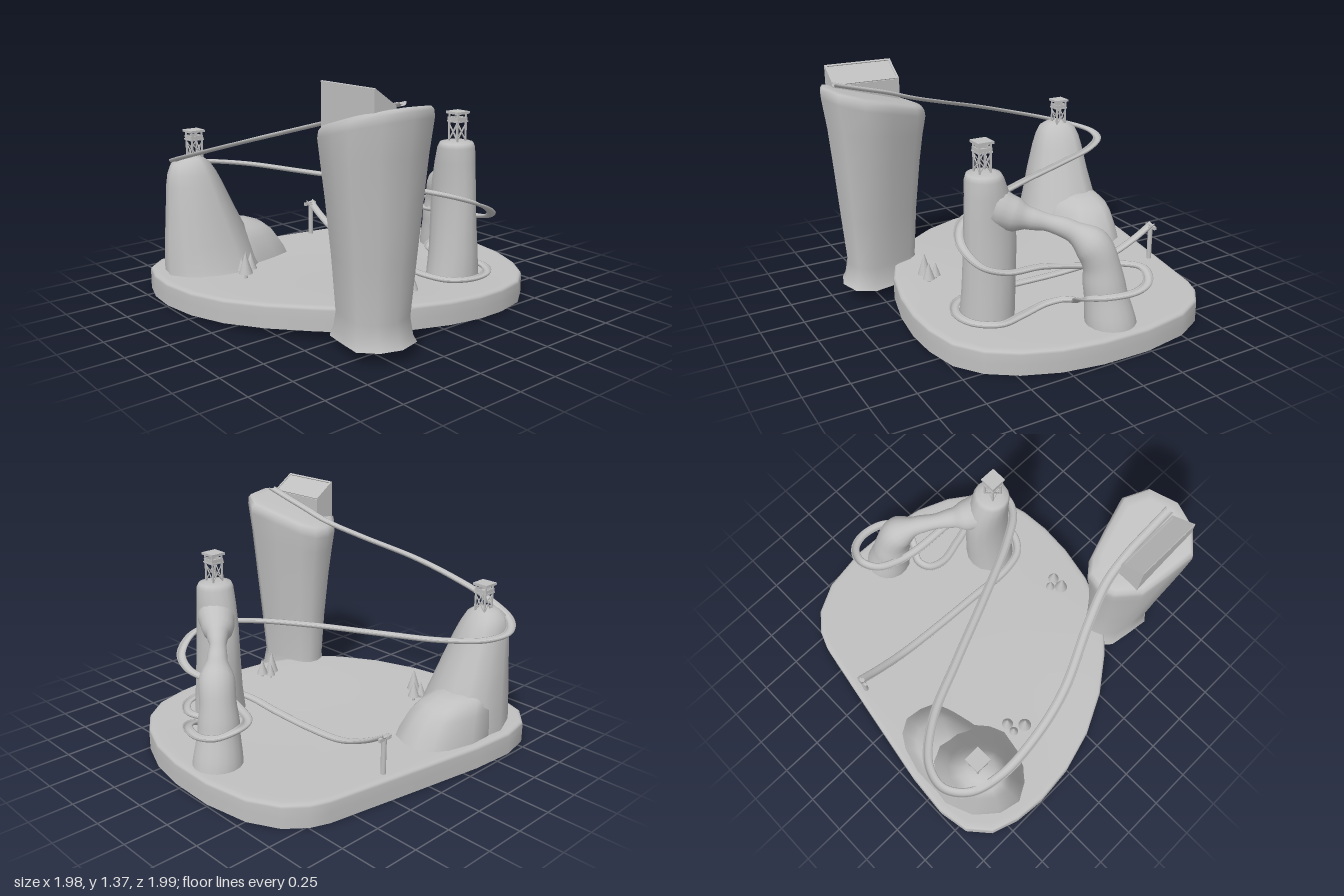
import * as THREE from 'three';
import { mergeVertices } from 'three/addons/utils/BufferGeometryUtils.js';

const stone = new THREE.MeshStandardMaterial({ color: 0xc0c0c0, side: THREE.DoubleSide });
stone.name = 'stone grey';

function add(parent, name, geometry, x = 0, y = 0, z = 0) {
  const mesh = new THREE.Mesh(geometry, stone);
  mesh.name = name;
  mesh.position.set(x, y, z);
  parent.add(mesh);
  return mesh;
}

// Skin over stacked rings. Every level fits the [x, z] outline into a box:
// [y, xMin, xMax, zMin, zMax, slope along x]. The last ring is closed.
function loft(outline, levels) {
  const sides = outline.length;
  const box = new THREE.Box2().setFromPoints(outline.map(([x, z]) => new THREE.Vector2(x, z)));
  const pos = [], idx = [];
  for (const [y, x0, x1, z0, z1, slope = 0] of levels) {
    for (const [px, pz] of outline) {
      const x = THREE.MathUtils.mapLinear(px, box.min.x, box.max.x, x0, x1);
      const z = THREE.MathUtils.mapLinear(pz, box.min.y, box.max.y, z0, z1);
      pos.push(x, y + slope * (x - (x0 + x1) / 2), z);
    }
  }
  for (let l = 0; l < levels.length - 1; l++) {
    for (let i = 0; i < sides; i++) {
      const a = l * sides + i, b = l * sides + (i + 1) % sides;
      idx.push(a, a + sides, b, b, a + sides, b + sides);
    }
  }
  const [y, x0, x1, z0, z1] = levels[levels.length - 1];
  const last = (levels.length - 1) * sides, tip = pos.length / 3;
  pos.push((x0 + x1) / 2, y, (z0 + z1) / 2);
  for (let i = 0; i < sides; i++) idx.push(last + i, tip, last + (i + 1) % sides);
  const g = new THREE.BufferGeometry();
  g.setAttribute('position', new THREE.Float32BufferAttribute(pos, 3));
  g.setIndex(idx);
  g.computeVertexNormals();
  return g;
}

// Round limb whose radius changes along its path: points are [x, y, z, radius].
function limb(points, segs, sides) {
  const curve = new THREE.CatmullRomCurve3(points.map(p => new THREE.Vector3(p[0], p[1], p[2])));
  const g = new THREE.TubeGeometry(curve, segs, 1, sides);
  const pos = g.attributes.position, v = new THREE.Vector3();
  for (let i = 0; i < pos.count; i++) {
    const u = Math.floor(i / (sides + 1)) / segs;
    const t = curve.getUtoTmapping(u) * (points.length - 1);
    const k = Math.min(Math.floor(t), points.length - 2);
    const r = THREE.MathUtils.lerp(points[k][3], points[k + 1][3], THREE.MathUtils.smoothstep(t - k, 0, 1));
    const c = curve.getPointAt(u);
    v.fromBufferAttribute(pos, i).sub(c).multiplyScalar(r).add(c);
    pos.setXYZ(i, v.x, v.y, v.z);
  }
  g.deleteAttribute('uv');
  g.deleteAttribute('normal');
  const merged = mergeVertices(g, 1e-5);
  merged.computeVertexNormals();
  return merged;
}

// Half-pipe channel swept along a path, kept level from side to side.
function channel(points, segs, radius, wall) {
  const curve = new THREE.CatmullRomCurve3(points.map(p => new THREE.Vector3(...p)));
  const section = [];
  for (let i = 0; i <= 8; i++) section.push([-Math.cos(i * Math.PI / 8) * radius, -Math.sin(i * Math.PI / 8) * radius * 0.8]);
  for (let i = 8; i >= 0; i--) section.push([-Math.cos(i * Math.PI / 8) * (radius - wall), -Math.sin(i * Math.PI / 8) * (radius * 0.8 - wall)]);
  const n = section.length, pos = [], idx = [], up = new THREE.Vector3(0, 1, 0);
  for (let s = 0; s <= segs; s++) {
    const c = curve.getPointAt(s / segs), t = curve.getTangentAt(s / segs);
    const side = t.clone().cross(up).normalize(), lift = side.clone().cross(t);
    for (const [a, b] of section) {
      const p = c.clone().addScaledVector(side, a).addScaledVector(lift, b);
      pos.push(p.x, p.y, p.z);
    }
  }
  for (let s = 0; s < segs; s++) {
    for (let i = 0; i < n; i++) {
      const a = s * n + i, b = s * n + (i + 1) % n;
      idx.push(a, b, a + n, b, b + n, a + n);
    }
  }
  const g = new THREE.BufferGeometry();
  g.setAttribute('position', new THREE.Float32BufferAttribute(pos, 3));
  g.setIndex(idx);
  g.computeVertexNormals();
  return g;
}

// Lookout with braced legs, deck, cabin and roof.
function lookout(parent, name, x, y, z) {
  const g = new THREE.Group();
  g.name = name;
  g.position.set(x, y, z);
  parent.add(g);
  for (const sx of [-1, 1]) for (const sz of [-1, 1])
    add(g, 'lookoutLeg', new THREE.BoxGeometry(0.009, 0.19, 0.009), sx * 0.033, 0.065, sz * 0.033);
  for (let k = 0; k < 4; k++) {
    const face = new THREE.Group();
    face.name = 'bracedSide';
    face.rotation.y = k * Math.PI / 2;
    g.add(face);
    for (const s of [-1, 1])
      add(face, 'brace', new THREE.BoxGeometry(0.006, 0.115, 0.004), 0, 0.05, 0.033).rotation.z = s * 0.61;
    add(face, 'rail', new THREE.BoxGeometry(0.08, 0.022, 0.005), 0, 0.125, 0.037);
  }
  add(g, 'deck', new THREE.BoxGeometry(0.085, 0.008, 0.085), 0, 0.112, 0);
  add(g, 'roof', new THREE.BoxGeometry(0.095, 0.014, 0.095), 0, 0.163, 0);
}

function tree(parent, x, y, z, r, h) {
  const g = new THREE.Group();
  g.name = 'tree';
  g.position.set(x, y, z);
  parent.add(g);
  add(g, 'trunk', new THREE.CylinderGeometry(r * 0.25, r * 0.25, 0.06, 8), 0, 0.015, 0);
  add(g, 'foliage', new THREE.ConeGeometry(r, h, 12), 0, 0.035 + h / 2, 0);
}

export function createModel() {
  const model = new THREE.Group();
  model.name = 'slidePark';

  // Island: hollow slab, lifted a little near the tall tower
  const shore = [[-0.8, -0.635], [-0.76, -0.74], [-0.67, -0.85], [-0.5, -0.94], [-0.23, -0.985], [0.05, -0.98],
    [0.28, -0.94], [0.48, -0.86], [0.63, -0.755], [0.735, -0.61], [0.78, -0.42], [0.79, -0.24], [0.77, -0.03],
    [0.715, 0.2], [0.585, 0.475], [0.425, 0.635], [0.215, 0.79], [-0.02, 0.905], [-0.26, 0.97], [-0.5, 0.99],
    [-0.685, 0.97], [-0.845, 0.915], [-0.95, 0.795], [-0.985, 0.61], [-0.965, 0.345], [-0.885, -0.14]];
  const inset = (y, d) => [y, -0.99 + d, 0.793 - d, -0.99 + d, 0.997 - d];
  const island = loft(shore, [inset(0, 0), inset(0.06, 0), inset(0.115, 0), inset(0.128, 0.004), inset(0.133, 0.015),
    inset(0.135, 0.04), inset(0.135, 0.2), inset(0.135, 0.4), inset(0.135, 0.6), inset(0.135, 0.75)]);
  const p = island.attributes.position;
  for (let i = 0; i < p.count; i++) {
    const d2 = (p.getX(i) - 0.6) ** 2 + (p.getZ(i) - 0.65) ** 2;
    p.setY(i, p.getY(i) + 0.055 * Math.exp(-d2 / 0.6));
  }
  island.computeVertexNormals();
  add(model, 'island', island);

  // Tall tower with slanted top
  const towerPlan = [[0.395, 0.47], [0.41, 0.38], [0.48, 0.32], [0.65, 0.265], [0.82, 0.215], [0.945, 0.29],
    [0.985, 0.46], [0.94, 0.61], [0.835, 0.715], [0.68, 0.69], [0.53, 0.66], [0.425, 0.555]];
  add(model, 'tallTower', loft(towerPlan, [
    [0.065, 0.425, 0.935, 0.285, 0.66, 0.03], [0.1, 0.45, 0.915, 0.3, 0.65, 0.03], [0.2, 0.475, 0.895, 0.31, 0.64],
    [0.5, 0.455, 0.92, 0.285, 0.665], [0.8, 0.425, 0.945, 0.255, 0.695, 0.05], [1.0, 0.4, 0.965, 0.235, 0.715, 0.15],
    [1.14, 0.38, 0.99, 0.22, 0.727, 0.27], [1.178, 0.385, 0.99, 0.225, 0.722, 0.28],
    [1.2, 0.4, 0.98, 0.245, 0.7, 0.28], [1.207, 0.45, 0.93, 0.29, 0.655, 0.28]]));

  // Sloped display box on the tower, with a raised frame
  const side = new THREE.Shape([[-0.635, 1.13], [-0.5, 1.13], [-0.5, 1.275], [-0.635, 1.37]].map(q => new THREE.Vector2(...q)));
  const wedge = new THREE.ExtrudeGeometry(side, { depth: 0.4, bevelEnabled: false });
  wedge.rotateY(Math.PI / 2);
  add(model, 'displayBox', wedge, 0.505, 0, 0);
  const frame = new THREE.Group();
  frame.name = 'displayFrame';
  frame.position.set(0.705, 1.324, 0.5675);
  frame.rotation.x = -Math.atan2(0.095, 0.135);
  model.add(frame);
  for (const s of [-1, 1]) {
    add(frame, 'frameLongSide', new THREE.BoxGeometry(0.4, 0.008, 0.012), 0, 0, s * 0.074);
    add(frame, 'frameShortSide', new THREE.BoxGeometry(0.012, 0.008, 0.148), s * 0.194, 0, 0);
  }

  // Front hill: a steep cone with a low shoulder towards the back
  const conePlan = [[-0.74, 0.3], [-0.58, 0.33], [-0.47, 0.4], [-0.405, 0.47], [-0.365, 0.555], [-0.39, 0.69],
    [-0.435, 0.78], [-0.5, 0.85], [-0.605, 0.905], [-0.74, 0.875], [-0.87, 0.77], [-0.94, 0.61], [-0.92, 0.45], [-0.85, 0.35]];
  add(model, 'hill', loft(conePlan, [
    [0.11, -0.94, -0.36, 0.28, 0.91], [0.17, -0.93, -0.395, 0.29, 0.91], [0.31, -0.912, -0.44, 0.34, 0.898],
    [0.49, -0.885, -0.49, 0.43, 0.878], [0.65, -0.865, -0.54, 0.5, 0.86], [0.72, -0.852, -0.567, 0.535, 0.845],
    [0.775, -0.83, -0.595, 0.575, 0.82], [0.805, -0.79, -0.635, 0.615, 0.77], [0.818, -0.75, -0.68, 0.66, 0.73]]));
  const shoulderPlan = [[-0.74, 0.05], [-0.64, 0.065], [-0.55, 0.105], [-0.51, 0.22], [-0.48, 0.345], [-0.46, 0.5],
    [-0.55, 0.6], [-0.8, 0.6], [-0.91, 0.5], [-0.91, 0.345], [-0.87, 0.185], [-0.82, 0.1]];
  add(model, 'hillShoulder', loft(shoulderPlan, [
    [0.11, -0.93, -0.46, 0.05, 0.6], [0.19, -0.92, -0.475, 0.09, 0.6], [0.28, -0.905, -0.51, 0.15, 0.6],
    [0.33, -0.89, -0.55, 0.21, 0.6], [0.365, -0.86, -0.6, 0.3, 0.6], [0.38, -0.82, -0.65, 0.36, 0.58]]));

  // Back rock pillar joined to a natural arch
  const round = Array.from({ length: 16 }, (_, i) => [Math.cos(i * Math.PI / 8), Math.sin(i * Math.PI / 8)]);
  add(model, 'rockPillar', loft(round, [
    [0.11, 0.265, 0.57, -0.55, -0.23], [0.3, 0.26, 0.56, -0.535, -0.265], [0.55, 0.25, 0.55, -0.515, -0.29],
    [0.7, 0.26, 0.545, -0.51, -0.29], [0.82, 0.29, 0.535, -0.505, -0.285], [0.91, 0.32, 0.53, -0.5, -0.28],
    [0.937, 0.335, 0.52, -0.485, -0.29], [0.945, 0.37, 0.48, -0.45, -0.33]]));
  add(model, 'rockArch', limb([[-0.11, 0.11, -0.815, 0.14], [-0.085, 0.33, -0.78, 0.115], [-0.065, 0.47, -0.765, 0.1],
    [-0.03, 0.56, -0.74, 0.1], [0.06, 0.64, -0.665, 0.056], [0.15, 0.675, -0.59, 0.047], [0.23, 0.695, -0.53, 0.06],
    [0.3, 0.715, -0.475, 0.095], [0.38, 0.75, -0.42, 0.11]], 40, 18));

  lookout(model, 'hillLookout', -0.712, 0.8, 0.665);
  lookout(model, 'pillarLookout', 0.433, 0.945, -0.387);

  // Slide: from the tower, round the hill, pillar and arch foot, to the jump
  add(model, 'slide', channel([[0.91, 1.3, 0.47], [0.75, 1.258, 0.47], [0.6, 1.22, 0.472], [0.415, 1.16, 0.495],
    [0.19, 1.09, 0.58], [-0.13, 0.99, 0.725], [-0.39, 0.91, 0.785], [-0.66, 0.83, 0.795], [-0.845, 0.775, 0.735],
    [-0.93, 0.745, 0.61], [-0.895, 0.73, 0.465], [-0.71, 0.722, 0.3], [-0.39, 0.712, 0.15], [0, 0.7, -0.02],
    [0.35, 0.675, -0.185], [0.53, 0.645, -0.31], [0.595, 0.59, -0.45], [0.545, 0.51, -0.57], [0.42, 0.465, -0.615],
    [0.2, 0.448, -0.61], [-0.08, 0.405, -0.645], [-0.25, 0.405, -0.715], [-0.305, 0.41, -0.82], [-0.26, 0.38, -0.925],
    [-0.155, 0.362, -0.965], [0, 0.35, -0.925], [0.07, 0.32, -0.82], [0.04, 0.265, -0.715], [0, 0.215, -0.64],
    [0.03, 0.195, -0.565], [0.13, 0.18, -0.535], [0.3, 0.172, -0.575], [0.45, 0.17, -0.605], [0.57, 0.17, -0.52],
    [0.6, 0.17, -0.38], [0.53, 0.17, -0.25], [0.38, 0.17, -0.205], [0.1, 0.17, -0.217], [-0.2, 0.178, -0.23],
    [-0.48, 0.21, -0.243], [-0.68, 0.29, -0.25], [-0.815, 0.37, -0.255]], 320, 0.027, 0.006));
  const jump = new THREE.Group();
  jump.name = 'jumpSupport';
  model.add(jump);
  add(jump, 'jumpPost', new THREE.CylinderGeometry(0.015, 0.015, 0.22, 10), -0.805, 0.235, -0.255);
  add(jump, 'jumpCrossbar', new THREE.BoxGeometry(0.015, 0.02, 0.09), -0.81, 0.345, -0.255);

  // Two clumps of conifers
  for (const [x, y, z, r, h] of [
    [-0.335, 0.14, 0.53, 0.035, 0.1], [-0.34, 0.14, 0.59, 0.028, 0.08], [-0.265, 0.145, 0.61, 0.04, 0.13],
    [0.555, 0.15, 0.06, 0.035, 0.1], [0.5, 0.15, 0.085, 0.028, 0.08], [0.548, 0.15, 0.135, 0.04, 0.13]])
    tree(model, x, y, z, r, h);

  return model;
}
